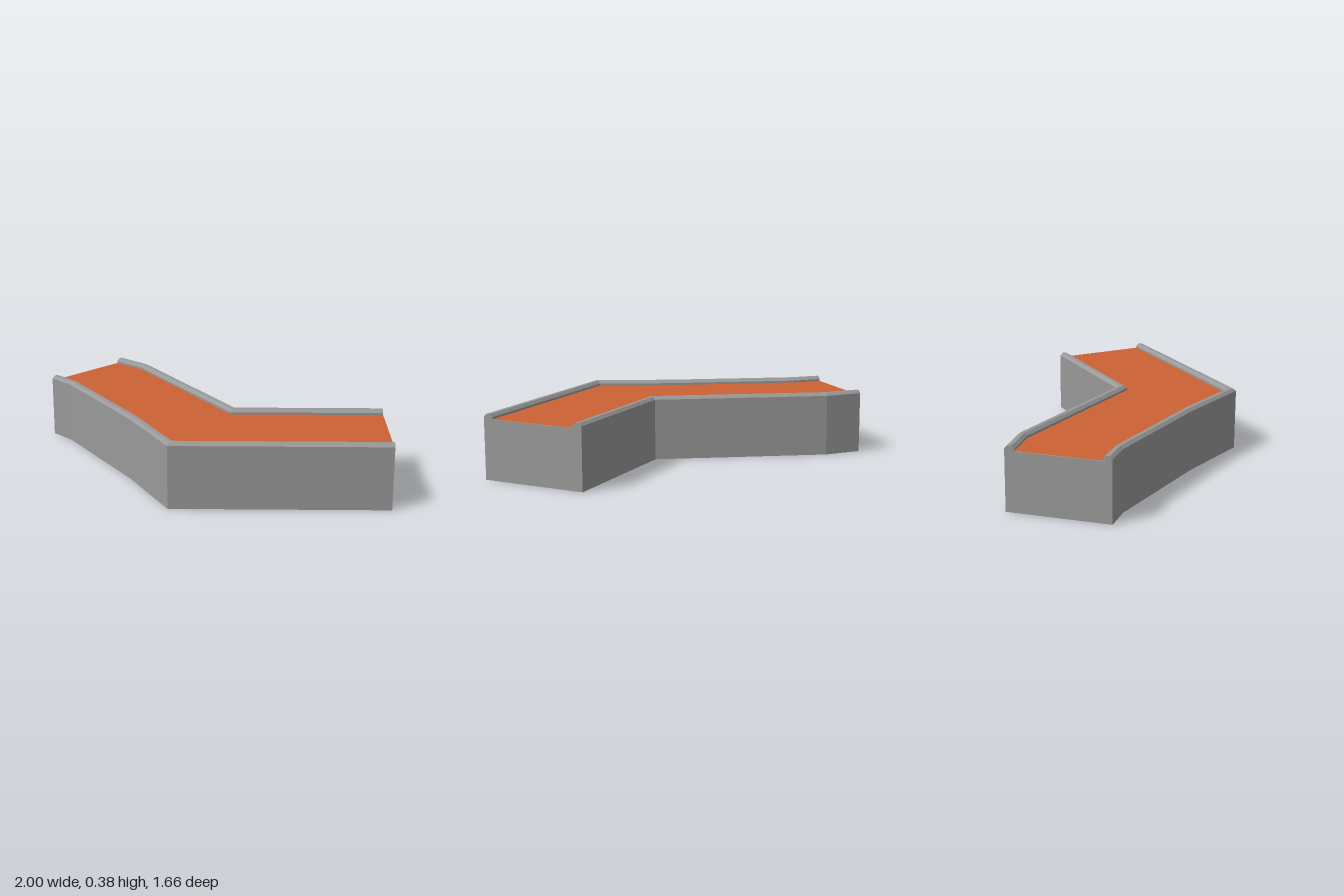
import * as THREE from 'three';

// Ground outline as two edges [x, z]; the floor lies on the same hand of both.
const BACK_EDGE = [[-0.59, -0.83], [-0.415, -0.68], [0.15, 0.2], [1, 0.2]];
const FRONT_EDGE = [[1, 0.83], [-0.22, 0.83], [-0.455, 0.39], [-0.875, -0.265], [-1, -0.39]];
const BASE_H = 0.35, KERB_W = 0.057;
// Kerb section: [inset from the outline, height]
const KERB = [[0, BASE_H], [0, 0.364], [0.017, 0.38], [0.04, 0.38], [KERB_W, 0.364], [KERB_W, BASE_H]];

// Moves an open edge inward by d, with mitred corners.
function inset(path, d) {
  const normals = path.slice(1).map(([x, z], i) => {
    const dx = x - path[i][0], dz = z - path[i][1], l = Math.hypot(dx, dz);
    return [-dz / l, dx / l];
  });
  return path.map(([x, z], i) => {
    const a = normals[Math.max(i - 1, 0)], b = normals[Math.min(i, normals.length - 1)];
    const k = d / (1 + a[0] * b[0] + a[1] * b[1]);
    return [x + (a[0] + b[0]) * k, z + (a[1] + b[1]) * k];
  });
}

const groundShape = (points) => new THREE.Shape(points.map(([x, z]) => new THREE.Vector2(x, -z)));

// Sweeps the kerb section along an edge and closes both ends.
function kerbGeometry(path) {
  const rails = KERB.map(([d, y]) => inset(path, d).map(([x, z]) => [x, y, z]));
  const pos = [], n = rails.length, last = path.length - 1;
  const tri = (a, b, c) => pos.push(...a, ...b, ...c);
  for (let s = 0; s < last; s++) {
    for (let j = 0; j < n; j++) {
      const p = rails[j], q = rails[(j + 1) % n];
      tri(p[s], q[s], q[s + 1]);
      tri(p[s], q[s + 1], p[s + 1]);
    }
  }
  for (let j = 1; j < n - 1; j++) {
    tri(rails[0][0], rails[j + 1][0], rails[j][0]);
    tri(rails[0][last], rails[j][last], rails[j + 1][last]);
  }
  const g = new THREE.BufferGeometry();
  g.setAttribute('position', new THREE.Float32BufferAttribute(pos, 3));
  g.computeVertexNormals();
  return g;
}

export function createModel() {
  const grey = new THREE.MeshStandardMaterial({ color: 0x999999 });
  grey.name = 'grey';
  const orange = new THREE.MeshStandardMaterial({ color: 0xcc6233 });
  orange.name = 'orange';
  const group = new THREE.Group();
  group.name = 'bentTrack';
  const add = (name, geometry, material) => {
    const mesh = new THREE.Mesh(geometry, material);
    mesh.name = name;
    group.add(mesh);
    return mesh;
  };

  // Solid base block
  add('base', new THREE.ExtrudeGeometry(groundShape([...BACK_EDGE, ...FRONT_EDGE]),
    { depth: BASE_H, bevelEnabled: false }).rotateX(-Math.PI / 2), grey);

  // Bevelled kerbs along both sides
  add('backKerb', kerbGeometry(BACK_EDGE), grey);
  add('frontKerb', kerbGeometry(FRONT_EDGE), grey);

  // Coloured floor between the kerbs
  const floor = [...inset(BACK_EDGE, KERB_W), ...inset(FRONT_EDGE, KERB_W)];
  add('floor', new THREE.ShapeGeometry(groundShape(floor)).rotateX(-Math.PI / 2), orange)
    .position.y = BASE_H + 0.002;

  return group;
}
